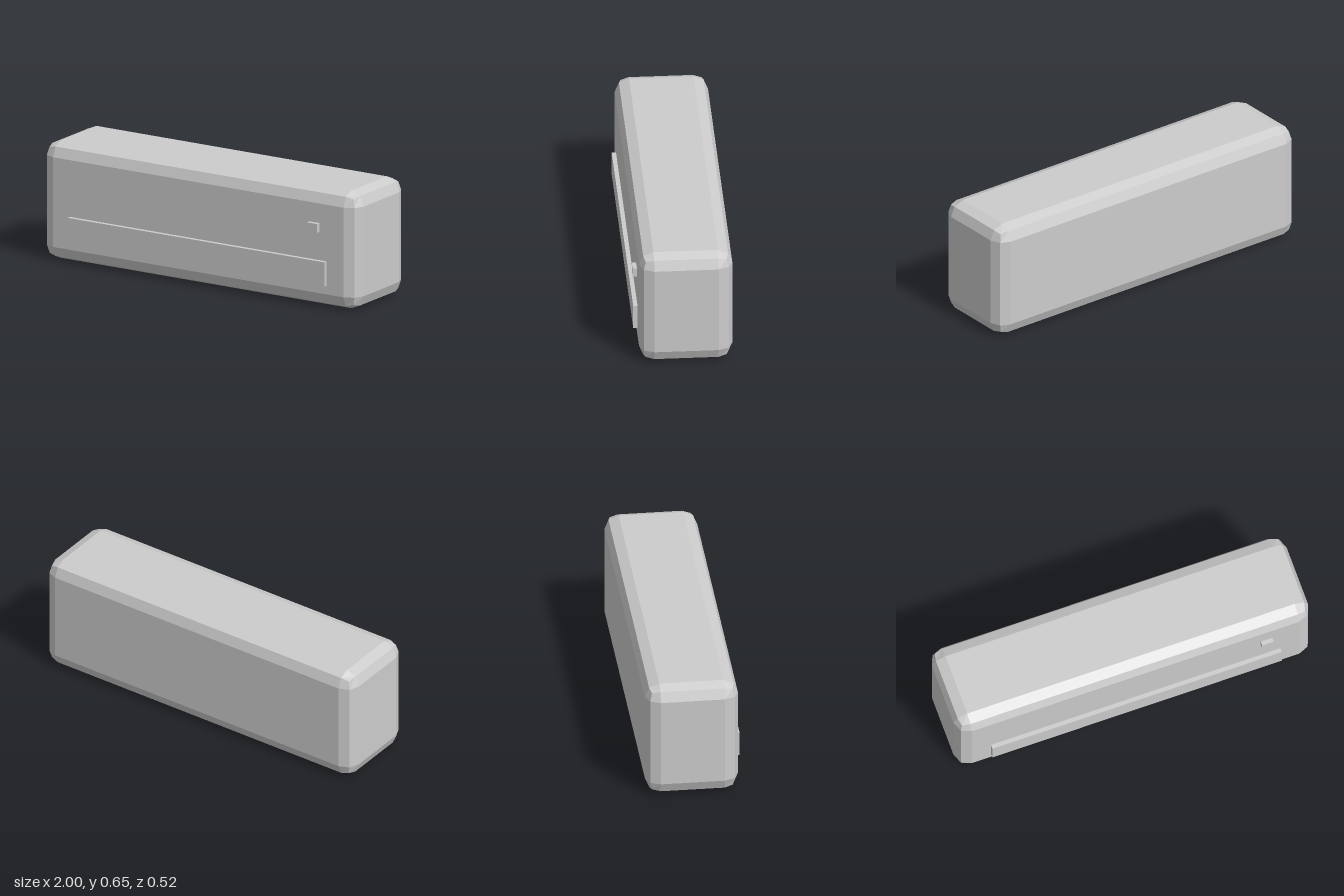
import * as THREE from 'three';
import { RoundedBoxGeometry } from 'three/addons/geometries/RoundedBoxGeometry.js';

export function createModel() {
  const model = new THREE.Group();
  model.name = 'wallUnit';
  const lightGrey = new THREE.MeshStandardMaterial({ color: 0xcccccc });
  lightGrey.name = 'lightGrey';

  function add(name, geometry, x, y, z) {
    const mesh = new THREE.Mesh(geometry, lightGrey);
    mesh.name = name;
    mesh.position.set(x, y, z);
    model.add(mesh);
  }

  // Casing: every edge has a two-facet bevel with flat normals
  const casing = new RoundedBoxGeometry(2, 0.648, 0.497, 1, 0.077);
  casing.computeVertexNormals();
  add('casing', casing, 0, 0.324, -0.0115);

  // Raised parts, sunk slightly into the front face
  add('ventFlap', new THREE.BoxGeometry(1.632, 0.134, 0.04), 0, 0.192, 0.24);
  add('indicator', new THREE.BoxGeometry(0.066, 0.048, 0.04), 0.738, 0.439, 0.24);

  return model;
}
